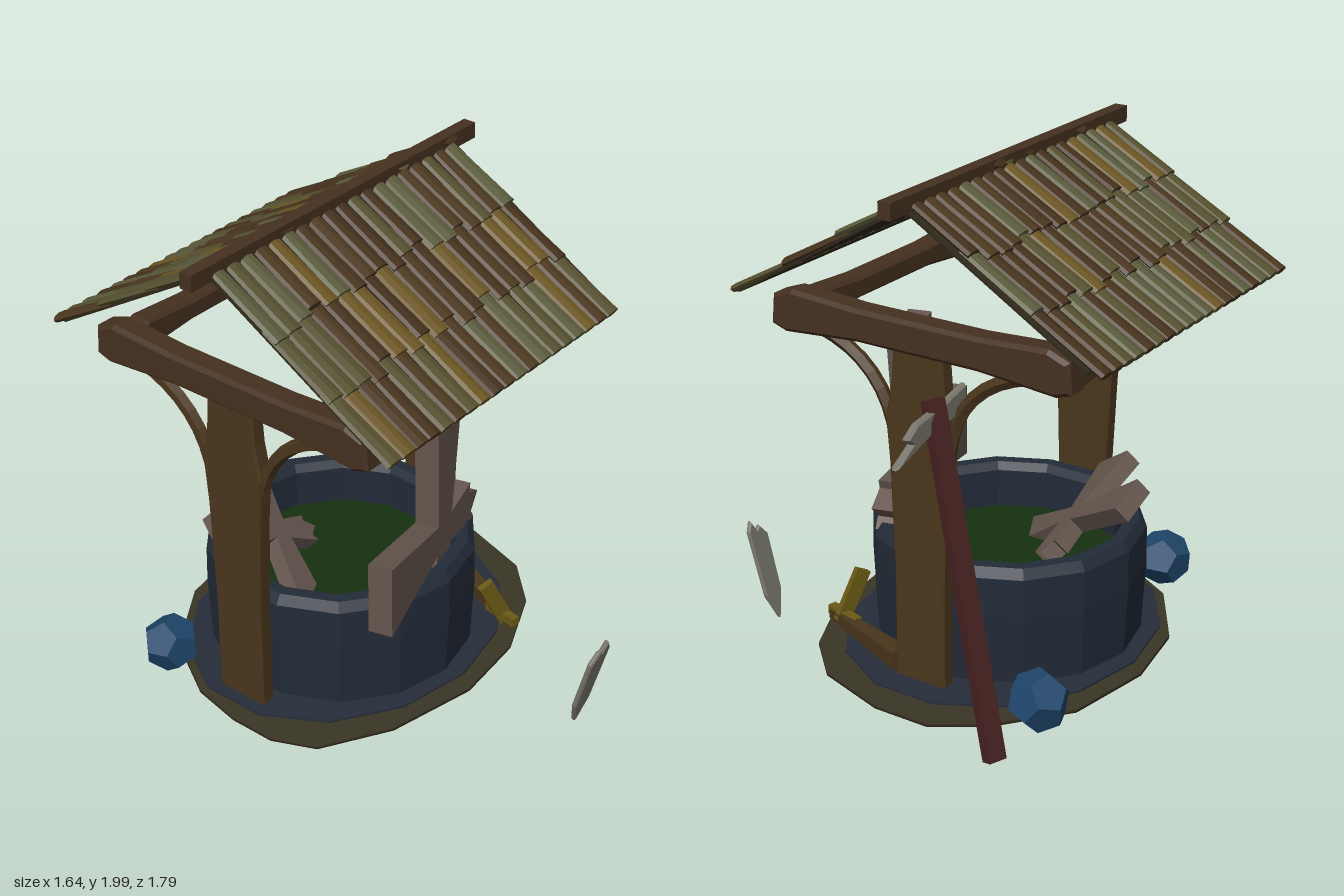
import * as THREE from 'three';

const CX = -0.077, CZ = -0.14; // axis of the well
const V = (x, y, z) => new THREE.Vector3(x, y, z);
const mat = (color) => new THREE.MeshStandardMaterial({ color, flatShading: true, side: THREE.DoubleSide, roughness: 0.9 });
const M = {
  wood: mat(0x4a361c), beam: mat(0x453020), stone: mat(0x222b38), slab: mat(0x262d3a), earth: mat(0x3a3626),
  under: mat(0x2c2015), rock: mat(0x1f466b), cross: mat(0x66574f), red: mat(0x45211f), steel: mat(0x77756a),
  gold: mat(0x6a5a14), slime: mat(0x16300f), lining: mat(0x30291b),
};
const THATCH = [0x5a5a3c, 0x4c3820, 0x6b5524, 0x55502f, 0x46321d].map(mat);

let seed = 7;
const rnd = () => ((seed = (seed * 16807) % 2147483647) / 2147483647);

function add(parent, name, geo, material) {
  const m = new THREE.Mesh(geo, material);
  m.name = name;
  parent.add(m);
  return m;
}

// Flat outline given thickness, centred on its own plane
function plate(pts, depth, bevel = 0) {
  const shape = new THREE.Shape(pts.map(([x, y]) => new THREE.Vector2(x, y)));
  const d = depth - 2 * bevel;
  return new THREE.ExtrudeGeometry(shape, {
    depth: d, bevelEnabled: bevel > 0, bevelSize: bevel, bevelThickness: bevel, bevelOffset: -bevel, bevelSegments: 1,
  }).translate(0, 0, -d / 2);
}

// Square bar running from a to b
function bar(parent, name, a, b, w, h, material) {
  const m = add(parent, name, new THREE.BoxGeometry(w, h, a.distanceTo(b)), material);
  m.position.copy(a).add(b).multiplyScalar(0.5);
  m.lookAt(b);
  return m;
}

// Beam outline, thick at both ends and slightly arched below
const beamOutline = (h, y0, y1) => [
  [-h, y0 + 0.02], [-h + 0.06, y0], [-h * 0.4, y0 + 0.025], [h * 0.4, y0 + 0.025], [h - 0.06, y0], [h, y0 + 0.02],
  [h - 0.01, y1 - 0.03], [h - 0.09, y1], [h * 0.4, y1 - 0.015], [-h * 0.4, y1 - 0.015], [-h + 0.09, y1], [-h + 0.01, y1 - 0.03],
];

function makeBase() {
  const g = new THREE.Group();
  g.name = 'base';
  // Uneven patch of earth, seen as x and z
  const patch = [
    [0.6, -0.5], [0.72, -0.32], [0.72, -0.1], [0.63, 0.18], [0.47, 0.34], [0.2, 0.46], [-0.1, 0.49], [-0.45, 0.41],
    [-0.7, 0.26], [-0.77, 0.1], [-0.77, -0.08], [-0.73, -0.28], [-0.58, -0.53], [-0.3, -0.71], [0, -0.76], [0.35, -0.7],
  ].map(([x, z]) => [x, -z]);
  add(g, 'earth', plate(patch, 0.006).rotateX(-Math.PI / 2).translate(0, 0.172, 0), M.earth);
  add(g, 'earthUnderside', plate(patch, 0.006).rotateX(-Math.PI / 2).translate(0, 0.165, 0), M.under);
  const slab = add(g, 'stoneSlab', new THREE.CylinderGeometry(1, 1, 0.012, 14), M.slab);
  slab.scale.set(0.67, 1, 0.565);
  slab.position.set(-0.05, 0.177, CZ);

  const profile = [[0.5, 0.17], [0.513, 0.45], [0.51, 0.595], [0.485, 0.63], [0.44, 0.63], [0.42, 0.6], [0.42, 0.3]]
    .map(([r, y]) => new THREE.Vector2(r, y));
  add(g, 'wellWall', new THREE.LatheGeometry(profile, 14), M.stone).position.set(CX, 0, CZ);
  add(g, 'slime', new THREE.CylinderGeometry(0.43, 0.43, 0.02, 14), M.slime).position.set(CX, 0.44, CZ);

  for (const [x, y, z, r] of [[-0.68, 0.275, -0.47, 0.11], [0.44, 0.225, -0.6, 0.115]]) {
    const rock = add(g, 'rock', new THREE.DodecahedronGeometry(r, 0), M.rock);
    rock.position.set(x, y, z);
    rock.rotation.set(x, 0.6, z * 2);
  }
  return g;
}

function makeFrame() {
  const g = new THREE.Group();
  g.name = 'frame';
  const half = [[0.105, 0.15], [0.105, 0.6], [0.12, 1.0], [0.135, 1.17], [0.11, 1.3], [0.1, 1.44]];
  const post = [...half, ...half.map(([z, y]) => [-z, y]).reverse()];
  for (const x of [-0.625, 0.472]) {
    const side = new THREE.Group();
    side.name = 'sideFrame';
    side.position.set(x, 0, CZ);
    add(side, 'post', plate(post, 0.064, 0.008).rotateY(-Math.PI / 2), M.wood);
    add(side, 'topBeam', plate(beamOutline(0.61, 1.4, 1.56), 0.1, 0.014).rotateY(-Math.PI / 2), M.beam);
    for (const s of [-1, 1]) {
      const curve = new THREE.QuadraticBezierCurve3(V(0, 1.08, s * 0.11), V(0, 1.36, s * 0.15), V(0, 1.43, s * 0.43));
      add(side, 'brace', new THREE.TubeGeometry(curve, 8, 0.026, 5), M.wood);
    }
    g.add(side);
  }
  for (const s of [-1, 1])
    add(g, 'crossBeam', plate(beamOutline(0.53, 1.4, 1.52), 0.09, 0.012), M.beam).position.set(CX, 0, CZ + s * 0.54);
  return g;
}

function makeRoof() {
  const g = new THREE.Group();
  g.name = 'roof';
  add(g, 'ridgeBeam', new THREE.BoxGeometry(1.5, 0.06, 0.05), M.beam).position.set(-0.075, 1.97, CZ);
  const cols = 19, pitch = 0.068;
  for (const turn of [0, Math.PI]) {
    const side = new THREE.Group();
    side.name = 'roofSlope';
    side.position.set(-0.085, 1.962, CZ);
    side.rotation.set(0.536, turn, 0, 'YXZ');
    add(side, 'lining', new THREE.BoxGeometry(1.3, 0.008, 0.82), M.lining)
      .position.set(turn ? -0.01 : 0.01, -0.008, 0.41);
    // Overlapping rows of rounded slats, lower ends lifted
    for (let c = 0; c < cols; c++) for (let r = 0; r < 3; r++) {
      const len = 0.32;
      const geo = new THREE.CylinderGeometry(0.037, 0.031, len, 8).rotateX(Math.PI / 2).scale(1, 0.42, 1);
      const slat = add(side, 'slat', geo, THATCH[Math.floor(rnd() * THATCH.length)]);
      slat.position.set((c - (cols - 1) / 2) * pitch, 0.009 - r * 0.003, 0.865 - (2 - r) * 0.28 - len / 2 + (r < 2 ? (rnd() - 0.5) * 0.06 : 0));
      slat.rotation.set(-0.03, (rnd() - 0.5) * 0.03, (rnd() - 0.5) * 0.25);
    }
    g.add(side);
  }
  return g;
}

function makeCrosses() {
  const g = new THREE.Group();
  g.name = 'crosses';
  // Flared arms; the right one is broken short
  const outline = [
    [0.065, 0.065], [0.12, 0.61], [-0.12, 0.61], [-0.065, 0.065], [-0.5, 0.14], [-0.48, -0.15], [-0.065, -0.06],
    [-0.12, -0.61], [0.12, -0.61], [0.065, -0.065], [0.3, -0.09], [0.27, -0.05], [0.33, 0.01], [0.24, 0.05], [0.25, 0.085],
  ];
  const upright = add(g, 'uprightCross', plate(outline, 0.09), M.cross);
  upright.position.set(0, 0.715, 0.235);
  upright.rotation.set(0, 0.27, -0.06, 'YXZ');

  // Smaller-looking cross sunk in the well, two arms above the rim
  const c = V(-0.23, 0.58, -0.34);
  const x = c.clone().sub(V(-0.5, 0.71, -0.36)).normalize();
  const z = x.clone().cross(V(-0.14, 0.78, -0.62).sub(c)).normalize();
  const sunk = add(g, 'sunkenCross', plate(outline, 0.11), M.cross);
  sunk.quaternion.setFromRotationMatrix(new THREE.Matrix4().makeBasis(x, z.clone().cross(x), z));
  sunk.position.copy(c);
  sunk.scale.setScalar(0.63);
  return g;
}

function makeTools() {
  const g = new THREE.Group();
  g.name = 'tools';
  bar(g, 'leaningPole', V(0.58, 1.32, -0.258), V(0.71, 0.12, -0.595), 0.07, 0.045, M.red);

  // Broken metal blades
  const blade = [
    [0.42, 1.33], [0.55, 1.3], [0.7, 1.28], [0.76, 1.24], [0.73, 1.215], [0.82, 1.155], [0.62, 1.21], [0.41, 1.235],
  ];
  add(g, 'poleBlade', plate(blade, 0.03, 0.008), M.steel).position.z = -0.27;
  const shard = [[-0.05, 0.13], [-0.01, 0.18], [0.005, 0.165], [0.03, 0.21], [0.055, 0.17], [0.045, -0.1], [-0.005, -0.21], [-0.05, -0.1]];
  const loose = add(g, 'looseBlade', plate(shard, 0.02, 0.006), M.steel);
  loose.position.set(0.165, 0.21, 0.835);
  loose.rotation.x = 0.25;

  // Short pick lying by the wall: tapered handle and bent head
  const handle = add(g, 'pickHandle', new THREE.CylinderGeometry(0.055, 0.025, 0.47, 4).rotateY(Math.PI / 4).rotateX(Math.PI / 2), M.wood);
  handle.position.set(0.375, 0.205, 0.19);
  handle.lookAt(0.46, 0.21, -0.03);
  bar(g, 'pickHead', V(0.225, 0.38, 0.315), V(0.31, 0.19, 0.355), 0.025, 0.06, M.gold);
  bar(g, 'pickSocket', V(0.285, 0.215, 0.42), V(0.32, 0.21, 0.27), 0.035, 0.035, M.gold);
  return g;
}

export function createModel() {
  const g = new THREE.Group();
  g.name = 'roofedWell';
  g.add(makeBase(), makeFrame(), makeRoof(), makeCrosses(), makeTools());
  return g;
}
